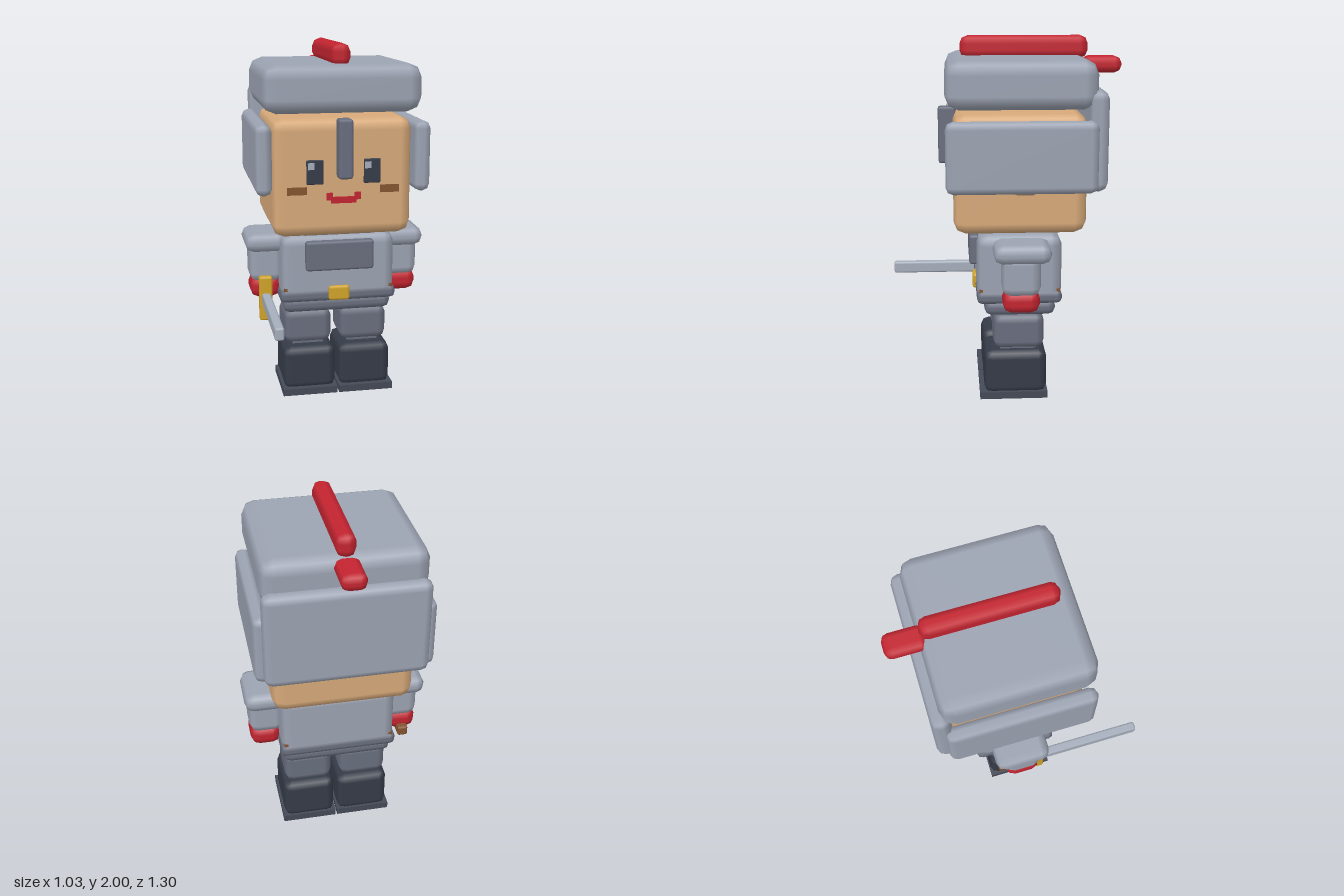
import * as THREE from 'three';
import { RoundedBoxGeometry } from 'three/addons/geometries/RoundedBoxGeometry.js';

const mat = (name, color) => {
  const m = new THREE.MeshStandardMaterial({ color });
  m.name = name;
  return m;
};

export function createModel() {
  const armor = mat('light grey armor', 0x9ca3b2);
  const iron = mat('dark grey iron', 0x6a6f7f);
  const skin = mat('tan skin', 0xd8aa7a);
  const red = mat('red', 0xc42430);
  const boot = mat('dark boot', 0x353b48);
  const soleMat = mat('sole grey', 0x444a57);
  const gold = mat('gold', 0xd2a428);
  const leather = mat('brown leather', 0x85552f);
  const steel = mat('steel', 0xa6afbd);

  const root = new THREE.Group();
  root.name = 'toyKnight';

  const group = (name) => {
    const g = new THREE.Group();
    g.name = name;
    root.add(g);
    return g;
  };

  // Box from its limits on each axis; r > 0 softens the edges with one bevel step
  const box = (parent, name, m, [x0, x1], [y0, y1], [z0, z1], r = 0) => {
    const w = x1 - x0, h = y1 - y0, d = z1 - z0;
    const geo = r > 0 ? new RoundedBoxGeometry(w, h, d, 1, r) : new THREE.BoxGeometry(w, h, d);
    const mesh = new THREE.Mesh(geo, m);
    mesh.name = name;
    mesh.position.set((x0 + x1) / 2, (y0 + y1) / 2, (z0 + z1) / 2);
    parent.add(mesh);
    return mesh;
  };

  // The same box on both sides; limits are given for the left (+x)
  const pair = (parent, name, m, [x0, x1], y, z, r) => {
    box(parent, 'left' + name, m, [x0, x1], y, z, r);
    box(parent, 'right' + name, m, [-x1, -x0], y, z, r);
  };

  // Legs
  const legs = group('legs');
  pair(legs, 'Sole', soleMat, [0.005, 0.32], [0, 0.04], [-0.235, 0.145]);
  pair(legs, 'Boot', boot, [0.01, 0.31], [0.02, 0.275], [-0.23, 0.12], 0.045);
  pair(legs, 'Thigh', iron, [0.025, 0.298], [0.285, 0.485], [-0.215, 0.068], 0.045);
  pair(legs, 'Knee', iron, [0.07, 0.25], [0.25, 0.32], [-0.17, 0.03]);

  // Torso
  const torso = group('torso');
  box(torso, 'hips', iron, [-0.31, 0.31], [0.485, 0.575], [-0.275, 0.118], 0.04);
  box(torso, 'belt', iron, [-0.33, 0.33], [0.56, 0.635], [-0.31, 0.16], 0.03);
  box(torso, 'beltLining', leather, [-0.31, 0.31], [0.6, 0.645], [-0.296, 0.146]);
  box(torso, 'chest', armor, [-0.322, 0.322], [0.57, 0.95], [-0.308, 0.158], 0.06);
  box(torso, 'chestPlate', iron, [-0.192, 0.192], [0.752, 0.92], [0.14, 0.198], 0.015);
  box(torso, 'buckle', gold, [-0.06, 0.06], [0.57, 0.655], [0.13, 0.177], 0.015);
  box(torso, 'neck', iron, [-0.19, 0.19], [0.92, 1.0], [-0.2, 0.12]);

  // Arms
  const arms = group('arms');
  pair(arms, 'Arm', armor, [0.29, 0.488], [0.65, 0.88], [-0.178, 0.03], 0.05);
  pair(arms, 'ShoulderPad', armor, [0.28, 0.513], [0.835, 0.942], [-0.235, 0.075], 0.05);
  pair(arms, 'Hand', red, [0.31, 0.484], [0.555, 0.68], [-0.175, 0.025], 0.05);

  // Sword in the right hand
  const sword = group('sword');
  box(sword, 'grip', leather, [-0.43, -0.37], [0.535, 0.595], [-0.21, 0.04], 0.012);
  box(sword, 'guard', gold, [-0.44, -0.365], [0.437, 0.695], [0.015, 0.065], 0.012);
  box(sword, 'blade', steel, [-0.426, -0.376], [0.53, 0.6], [0.04, 0.65], 0.012);

  // Head and face
  const head = group('head');
  box(head, 'skull', skin, [-0.382, 0.382], [0.968, 1.612], [-0.43, 0.282], 0.065);
  pair(head, 'Ear', skin, [0.36, 0.435], [1.195, 1.33], [-0.165, -0.025], 0.03);
  pair(head, 'Eye', boot, [0.11, 0.202], [1.262, 1.395], [0.27, 0.289], 0.006);
  for (const x of [-0.195, 0.115]) {
    box(head, 'eyeGlint', steel, [x, x + 0.035], [1.343, 1.38], [0.284, 0.292]);
  }
  pair(head, 'Cheek', leather, [0.2, 0.306], [1.208, 1.25], [0.279, 0.287]);
  box(head, 'mouth', red, [-0.068, 0.068], [1.157, 1.192], [0.281, 0.29]);
  pair(head, 'MouthCorner', red, [0.06, 0.094], [1.175, 1.215], [0.281, 0.29]);

  // Helmet
  const helmet = group('helmet');
  box(helmet, 'helmetTop', armor, [-0.43, 0.43], [1.638, 1.895], [-0.478, 0.322], 0.075);
  box(helmet, 'helmetBack', armor, [-0.432, 0.432], [1.208, 1.74], [-0.532, -0.43], 0.045);
  pair(helmet, 'CheekGuard', armor, [0.385, 0.475], [1.208, 1.59], [-0.475, 0.322], 0.04);
  box(helmet, 'noseGuard', iron, [-0.039, 0.039], [1.298, 1.615], [0.26, 0.362], 0.015);

  // Crest
  box(helmet, 'crest', red, [-0.052, 0.052], [1.875, 2.0], [-0.465, 0.238], 0.045);
  box(helmet, 'crestTail', red, [-0.067, 0.067], [1.797, 1.887], [-0.652, -0.43], 0.04);

  return root;
}
